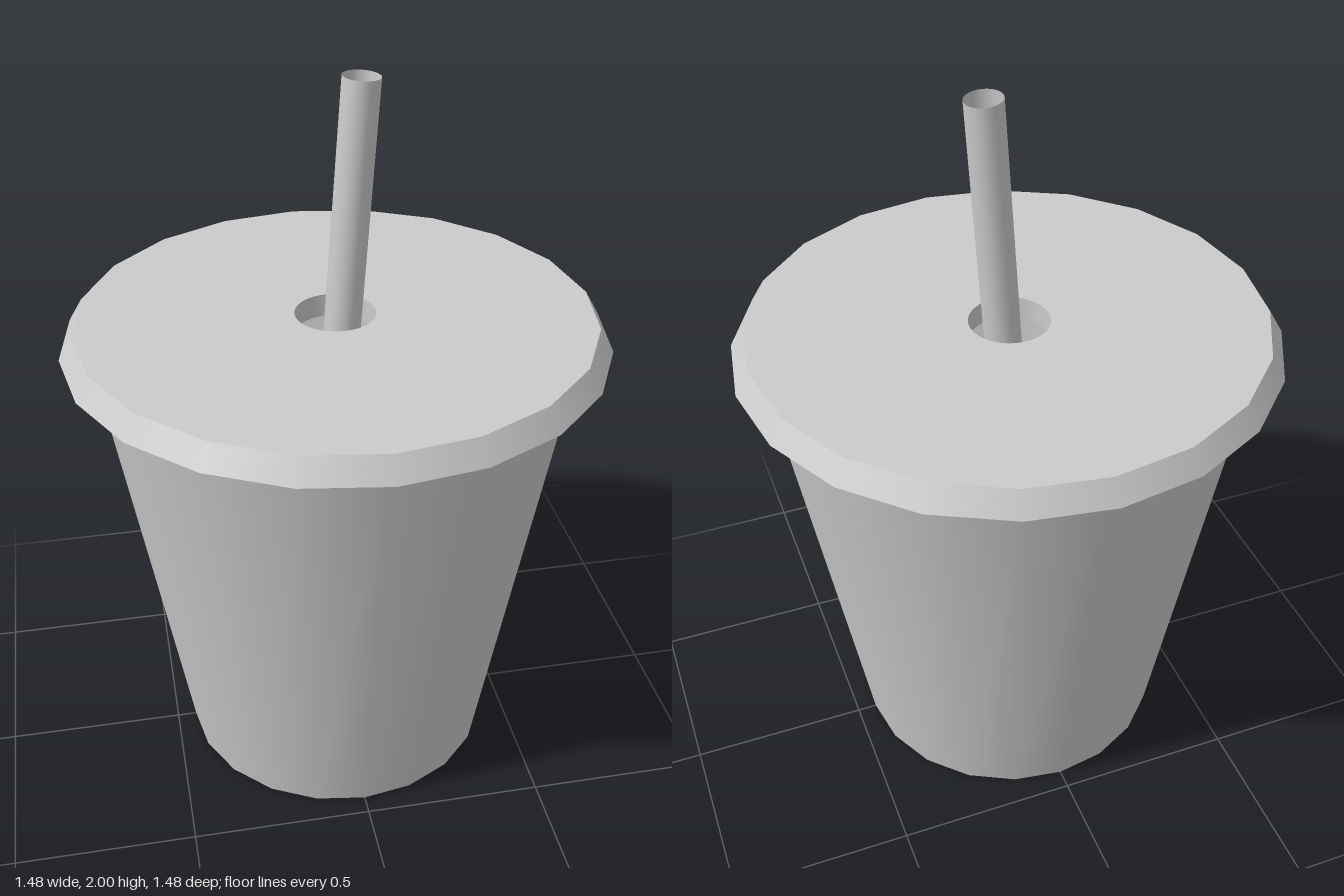
import * as THREE from 'three';

const SIDES = 20;
const LID_TOP = 1.355, LID_BOTTOM = 1.29;
const HOLE_R = 0.11, HOLE_Z = -0.01;

const material = new THREE.MeshStandardMaterial({ color: 0xcccccc, side: THREE.DoubleSide });

function part(name, geometry, parent) {
  const mesh = new THREE.Mesh(geometry, material);
  mesh.name = name;
  parent.add(mesh);
  return mesh;
}

// Flat 20-sided plate with a round straw hole, facing up (dir 1) or down (dir -1)
function lidPlate(radius, dir) {
  const corners = [];
  for (let i = 0; i < SIDES; i++) {
    const a = (i / SIDES) * Math.PI * 2;
    corners.push(new THREE.Vector2(radius * Math.cos(a), radius * Math.sin(a)));
  }
  const shape = new THREE.Shape(corners);
  const hole = new THREE.Path();
  hole.absarc(0, -dir * HOLE_Z, HOLE_R, 0, Math.PI * 2, true);
  shape.holes.push(hole);
  return new THREE.ShapeGeometry(shape, 16).rotateX(-dir * Math.PI / 2);
}

export function createModel() {
  const model = new THREE.Group();
  model.name = 'drinkCup';

  // Tapered cup, hollow under the lid
  const cup = new THREE.Group();
  cup.name = 'cup';
  model.add(cup);
  part('cupWall', new THREE.CylinderGeometry(0.66, 0.445, LID_BOTTOM, SIDES, 1, true), cup)
    .position.y = LID_BOTTOM / 2;
  part('cupBase', new THREE.CircleGeometry(0.445, SIDES).rotateX(Math.PI / 2), cup);

  // Lid with sloping rim and a hole through it
  const lid = new THREE.Group();
  lid.name = 'lid';
  model.add(lid);
  const height = LID_TOP - LID_BOTTOM, middle = (LID_TOP + LID_BOTTOM) / 2;
  part('lidTop', lidPlate(0.7, 1), lid).position.y = LID_TOP;
  part('lidUnderside', lidPlate(0.738, -1), lid).position.y = LID_BOTTOM;
  part('lidRim', new THREE.CylinderGeometry(0.7, 0.738, height, SIDES, 1, true), lid)
    .position.y = middle;
  part('strawHole', new THREE.CylinderGeometry(HOLE_R, HOLE_R, height, 32, 1, true), lid)
    .position.set(0, middle, HOLE_Z);

  // Leaning open straw reaching down to the cup base
  const bottom = new THREE.Vector3(-0.075, 0.02, 0.013);
  const top = new THREE.Vector3(0.067, 1.996, -0.014);
  const axis = top.clone().sub(bottom);
  const straw = part('straw', new THREE.CylinderGeometry(0.05, 0.05, axis.length(), 24, 1, true), model);
  straw.position.copy(bottom).add(top).multiplyScalar(0.5);
  straw.quaternion.setFromUnitVectors(new THREE.Vector3(0, 1, 0), axis.normalize());

  return model;
}
